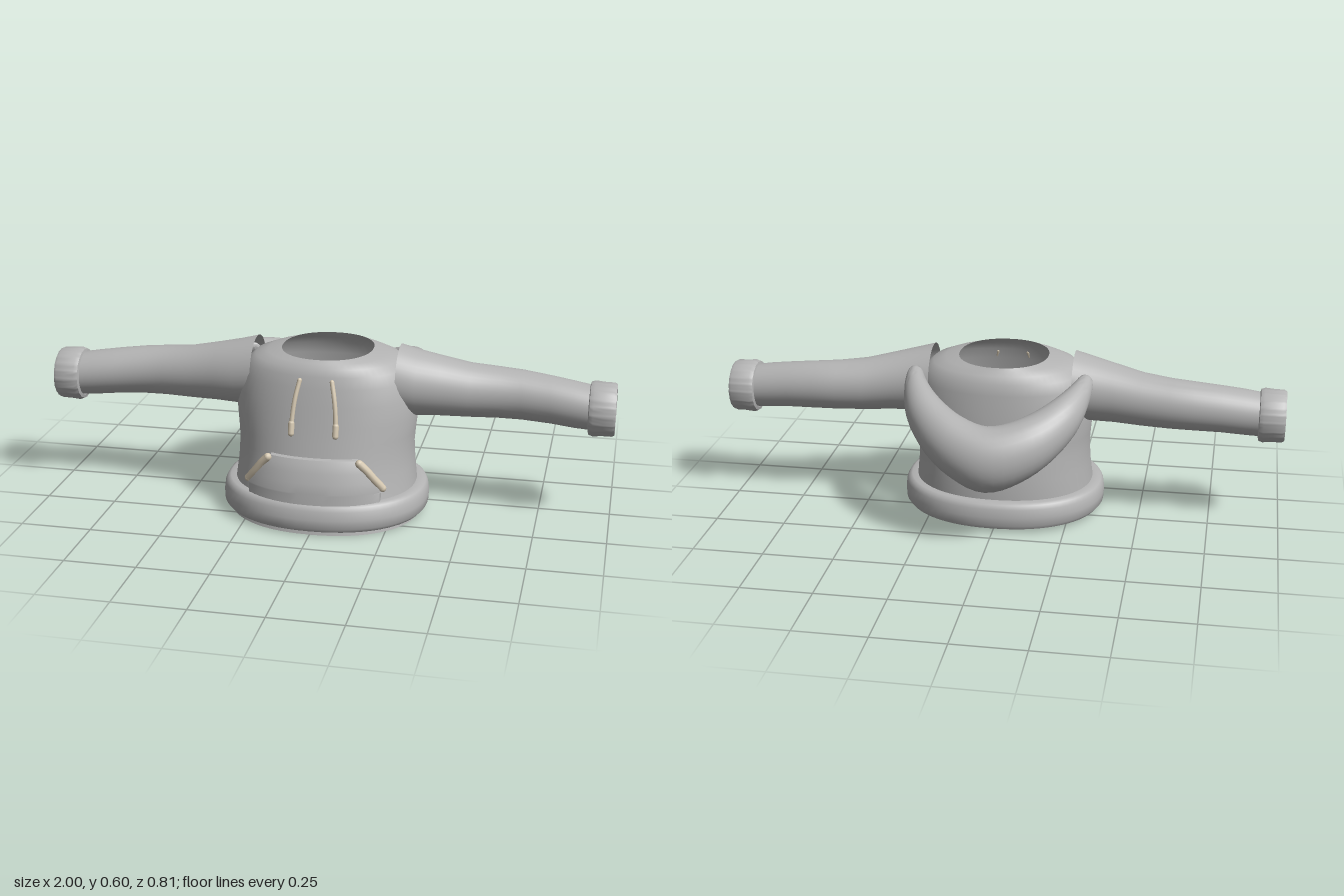
import * as THREE from 'three';
import { toCreasedNormals, mergeGeometries } from 'three/addons/utils/BufferGeometryUtils.js';

const fabric = new THREE.MeshStandardMaterial({ name: 'grey fabric', color: 0xb4b4b4, side: THREE.DoubleSide });
const cordMat = new THREE.MeshStandardMaterial({ name: 'beige cord', color: 0xd6c9b2 });

// Torso levels: y, half width, back z, front z
const LEVELS = [
  [0, 0.335, -0.17, 0.385], [0.11, 0.322, -0.168, 0.36], [0.18, 0.314, -0.168, 0.343],
  [0.25, 0.31, -0.158, 0.328], [0.3, 0.314, -0.153, 0.317], [0.36, 0.32, -0.15, 0.304],
  [0.43, 0.318, -0.143, 0.29], [0.49, 0.304, -0.136, 0.277], [0.53, 0.284, -0.13, 0.267],
  [0.555, 0.255, -0.114, 0.257], [0.57, 0.21, -0.101, 0.243], [0.58, 0.16, -0.095, 0.232],
];

// Skin a list of cross-sections
function skin(rows, closed = true, crease = 0.7) {
  const n = rows[0].length, index = [];
  for (let r = 0; r < rows.length - 1; r++) {
    for (let k = 0; k < (closed ? n : n - 1); k++) {
      const p = r * n + k, q = r * n + (k + 1) % n;
      index.push(p, p + n, q, q, p + n, q + n);
    }
  }
  const g = new THREE.BufferGeometry();
  g.setAttribute('position', new THREE.Float32BufferAttribute(rows.flat(2), 3));
  g.setIndex(index);
  return toCreasedNormals(g, crease);
}

const ring = (n, f) => Array.from({ length: n }, (_, k) => f(k / n * Math.PI * 2));
const soft = (v) => Math.sign(v) * Math.abs(v) ** 0.92;

// Horizontal, slightly squared oval for torso and hem
const oval = ([y, rx, zb, zf]) => ring(64, (a) =>
  [rx * soft(Math.cos(a)), y, (zb + zf) / 2 + (zf - zb) / 2 * soft(Math.sin(a))]);

// Front surface of the torso at x, y
function frontZ(x, y) {
  let i = 0;
  while (i < LEVELS.length - 2 && LEVELS[i + 1][0] < y) i++;
  const A = LEVELS[i], B = LEVELS[i + 1], t = (y - A[0]) / (B[0] - A[0]);
  const [, rx, zb, zf] = A.map((v, j) => v + (B[j] - v) * t);
  const c = Math.min(1, Math.abs(x) / rx) ** (1 / 0.92);
  return (zb + zf) / 2 + (zf - zb) / 2 * Math.sqrt(1 - c * c) ** 0.92;
}

// Round cord with rounded ends
function cord(points, r) {
  const v = points.map((p) => new THREE.Vector3(...p));
  const parts = [new THREE.TubeGeometry(new THREE.CatmullRomCurve3(v), 20, r, 10)];
  for (const e of [v[0], v[v.length - 1]]) {
    parts.push(new THREE.SphereGeometry(r, 10, 8).translate(e.x, e.y, e.z));
  }
  return mergeGeometries(parts);
}

export function createModel() {
  const model = new THREE.Group();
  model.name = 'hoodedSweater';
  const add = (name, geometry, material, mirror = false) => {
    const m = new THREE.Mesh(geometry, material);
    m.name = name;
    if (mirror) m.scale.x = -1;
    model.add(m);
  };

  // Torso with open neck and open bottom
  add('torso', skin(LEVELS.map(oval), true, 1), fabric);

  // Thick rounded hem band
  add('hemBand', skin([
    [0.016, 0.33, -0.166, 0.38], [0.016, 0.352, -0.203, 0.393], [0.03, 0.364, -0.21, 0.402],
    [0.06, 0.366, -0.21, 0.4], [0.09, 0.362, -0.206, 0.394], [0.105, 0.354, -0.199, 0.386],
    [0.111, 0.343, -0.188, 0.376], [0.111, 0.315, -0.16, 0.35],
  ].map(oval)), fabric);

  // Front pocket, raised from the torso with tucked-in edges
  const pocketRows = [
    [0.1, 0.23, 0.02], [0.142, 0.23, 0.027], [0.147, 0.247, 0.028], [0.18, 0.22, 0.027],
    [0.215, 0.19, 0.024], [0.24, 0.168, 0.019], [0.256, 0.153, 0.013], [0.26, 0.15, -0.004],
  ].map(([y, w, d]) => {
    const us = [1, ...Array.from({ length: 21 }, (_, i) => 1 - i / 10), -1];
    return us.map((u, i) => [u * w, y, frontZ(u * w, y) + (i === 0 || i === 22 ? -0.004 : d)]);
  });
  add('pocket', skin(pocketRows, false), fabric);

  // Hood lying folded behind the neck: x, y, z, thickness, half height
  const half = [
    [0.303, 0.535, -0.012, 0.002, 0.002], [0.303, 0.525, -0.03, 0.026, 0.026],
    [0.285, 0.487, -0.1, 0.044, 0.054], [0.235, 0.43, -0.19, 0.068, 0.085],
    [0.13, 0.363, -0.275, 0.088, 0.107], [0, 0.325, -0.31, 0.095, 0.117],
  ];
  const hoodStations = [...half, ...half.slice(0, -1).reverse().map(([x, ...s]) => [-x, ...s])];
  const path = new THREE.CatmullRomCurve3(hoodStations.map(([x, y, z]) => new THREE.Vector3(x, y, z)));
  const size = new THREE.CatmullRomCurve3(hoodStations.map(([, , , a, b]) => new THREE.Vector3(a, b, 0)));
  const hoodRows = Array.from({ length: 51 }, (_, i) => {
    const t = i / 50, c = path.getPoint(t), s = size.getPoint(t), d = path.getTangent(t);
    const l = Math.hypot(d.x, d.z), nx = -d.z / l, nz = d.x / l;
    return ring(28, (a) => {
      const h = s.x * Math.cos(a);
      return [c.x + nx * h, c.y + s.y * Math.sin(a), c.z + nz * h];
    });
  });
  add('hood', skin(hoodRows, true, 1.2), fabric);

  // Sleeve: x, centre y, centre z, half height, half depth
  const tube = (n, wave = 0) => ([x, y, z, ry, rz]) => ring(n, (a) => {
    const w = 1 + wave * Math.cos(a * 20);
    return [x, y + ry * w * Math.cos(a), z - rz * w * Math.sin(a)];
  });
  const sleeve = skin([
    [0.255, 0.478, 0.067, 0.122, 0.12], [0.32, 0.468, 0.065, 0.115, 0.113],
    [0.4, 0.459, 0.056, 0.105, 0.101], [0.5, 0.446, 0.043, 0.095, 0.092],
    [0.6, 0.44, 0.031, 0.09, 0.085], [0.68, 0.436, 0.03, 0.087, 0.082],
    [0.78, 0.428, 0.038, 0.083, 0.081], [0.86, 0.419, 0.045, 0.081, 0.08],
    [0.93, 0.411, 0.048, 0.077, 0.077],
  ].map(tube(40)), true, 1);

  // Ribbed open cuff: x, outer radius
  const cuff = skin([
    [0.908, 0.078], [0.911, 0.09], [0.925, 0.095], [0.96, 0.092],
    [0.99, 0.092], [1, 0.087], [1, 0.078], [0.925, 0.076],
  ].map(([x, r]) => tube(80, r > 0.08 ? 0.012 : 0)([x, 0.41, 0.048, r, r])), true, 0.9);

  // Drawstring hanging at the chest
  const drawstring = mergeGeometries([
    cord([[0.056, 0.518, 0.273], [0.068, 0.46, 0.292], [0.075, 0.4, 0.306], [0.077, 0.34, 0.32]], 0.008),
    cord([[0.077, 0.375, 0.312], [0.077, 0.342, 0.32]], 0.011),
  ]);

  // Trim along the slanted pocket opening
  const trim = cord([[0.16, 0.249], [0.182, 0.226], [0.208, 0.192], [0.236, 0.156]]
    .map(([x, y]) => [x, y, frontZ(x, y) + 0.021]), 0.014);

  for (const [side, mirror] of [['left', false], ['right', true]]) {
    add(side + 'Sleeve', sleeve, fabric, mirror);
    add(side + 'Cuff', cuff, fabric, mirror);
    add(side + 'Drawstring', drawstring, cordMat, mirror);
    add(side + 'PocketTrim', trim, cordMat, mirror);
  }
  return model;
}
